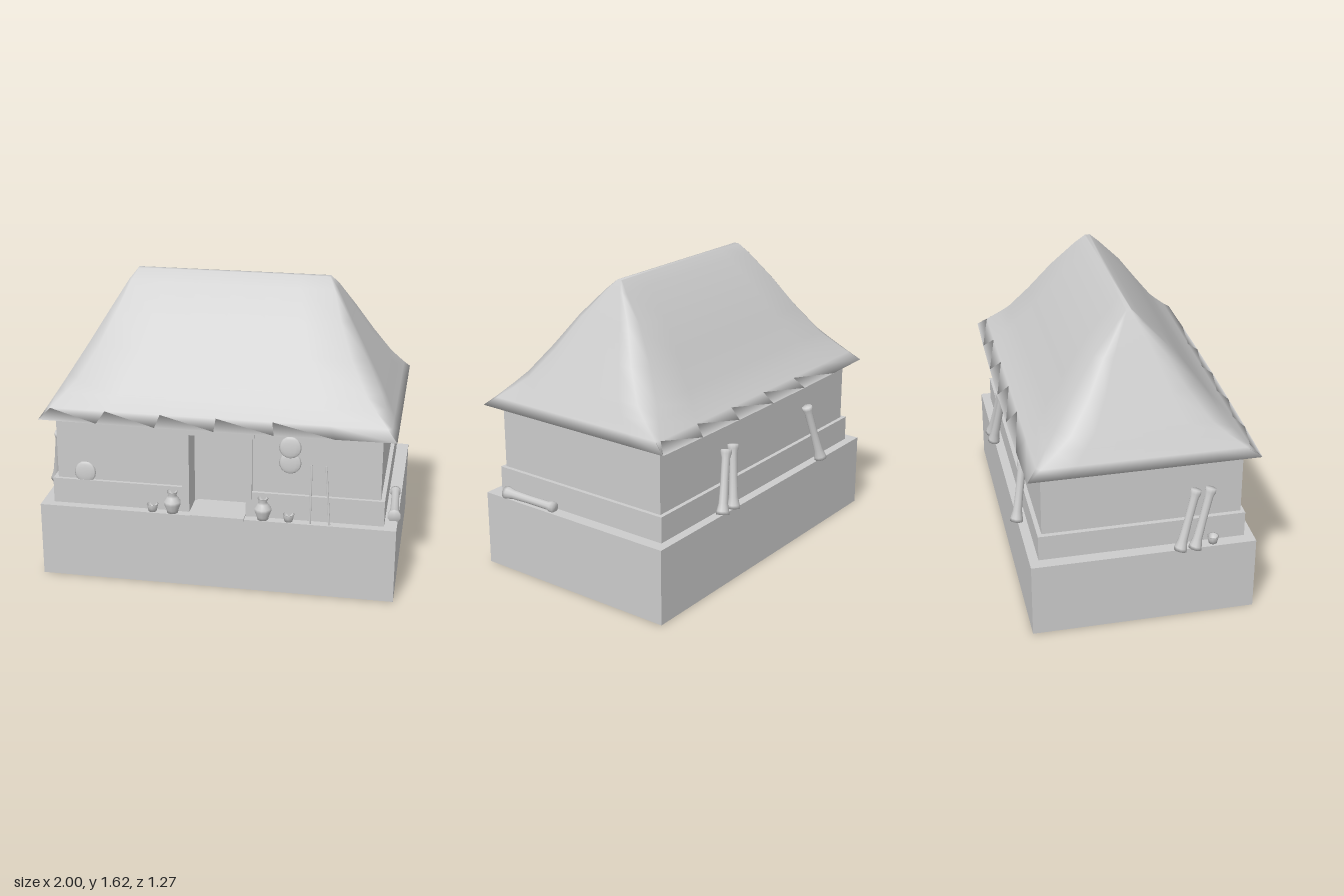
import * as THREE from 'three';

const mat = new THREE.MeshStandardMaterial({ color: 0xcccccc });
const matDouble = new THREE.MeshStandardMaterial({ color: 0xcccccc, side: THREE.DoubleSide });
const V = (x, y, z) => new THREE.Vector3(x, y, z);

export function createModel() {
  const model = new THREE.Group();

  const add = (name, geometry, material = mat) => {
    const mesh = new THREE.Mesh(geometry, material);
    mesh.name = name;
    model.add(mesh);
    return mesh;
  };

  // Box given by its extents
  const box = (name, x0, x1, y0, y1, z0, z1) =>
    add(name, new THREE.BoxGeometry(x1 - x0, y1 - y0, z1 - z0))
      .position.set((x0 + x1) / 2, (y0 + y1) / 2, (z0 + z1) / 2);

  // Walls extruded upward from a plan with a doorway notch in the front
  const DOOR = [-0.135, 0.175, 0.42]; // left, right, back of recess
  const notchedWalls = (name, x0, x1, z0, z1, y0, y1) => {
    const [a, b, d] = DOOR;
    const plan = [[x0, z0], [x0, z1], [a, z1], [a, d], [b, d], [b, z1], [x1, z1], [x1, z0]];
    const shape = new THREE.Shape(plan.map(([x, z]) => new THREE.Vector2(x, -z)));
    const g = new THREE.ExtrudeGeometry(shape, { depth: y1 - y0, bevelEnabled: false });
    g.rotateX(-Math.PI / 2).translate(0, y0, 0);
    add(name, g);
  };

  // Base: a box open at the bottom
  const base = new THREE.BoxGeometry(1.945, 0.42, 1.21);
  const idx = Array.from(base.index.array);
  idx.splice(18, 6);
  base.setIndex(idx);
  base.clearGroups();
  add('base', base, matDouble).position.set(0.0125, 0.21, 0.015);

  // House body and plinth
  notchedWalls('walls', -0.87, 0.895, -0.517, 0.553, 0.41, 0.96);
  notchedWalls('plinth', -0.895, 0.917, -0.54, 0.572, 0.412, 0.563);

  // Doorway
  box('leftJamb', -0.175, DOOR[0], 0.42, 0.93, 0.45, 0.575);
  box('rightJamb', DOOR[1], 0.207, 0.42, 0.93, 0.45, 0.575);
  box('lintel', -0.205, 0.22, 0.872, 0.935, 0.45, 0.58);
  box('doorstep', -0.12, 0.172, 0.41, 0.428, 0.41, 0.63);

  add('roof', roofGeometry(), matDouble);

  // Turned pieces: jars, cups and pestles
  const lathe = (points, sides) =>
    new THREE.LatheGeometry(points.map(([r, y]) => new THREE.Vector2(r, y)), sides);
  const jar = lathe([[0, 0], [0.03, 0], [0.034, 0.018], [0.046, 0.05], [0.046, 0.066],
    [0.028, 0.09], [0.022, 0.102], [0.03, 0.122], [0.026, 0.122], [0.018, 0.1], [0, 0.095]], 12);
  const cup = lathe([[0, 0], [0.022, 0], [0.027, 0.02], [0.032, 0.04], [0.027, 0.04],
    [0.02, 0.015], [0, 0.012]], 10);
  const pestle = lathe([[0, 0], [0.036, 0], [0.034, 0.018], [0.025, 0.06], [0.022, 0.17],
    [0.023, 0.3], [0.03, 0.325], [0.029, 0.345], [0, 0.347]], 10);

  for (const x of [-0.225, 0.27]) add('jar', jar, matDouble).position.set(x, 0.42, 0.59);
  for (const [x, z] of [[-0.335, 0.592], [0.41, 0.592], [-0.925, 0.39]])
    add('cup', cup, matDouble).position.set(x, 0.42, z);

  // Place a y-axis part with its foot at one point, pointing at another
  const aim = (mesh, from, to) => {
    mesh.position.copy(from);
    mesh.quaternion.setFromUnitVectors(V(0, 1, 0), to.clone().sub(from).normalize());
  };
  const pestles = [
    [V(-0.967, 0.425, 0.2), V(-0.905, 0.77, 0.3)],
    [V(-0.967, 0.425, 0.28), V(-0.905, 0.77, 0.38)],
    [V(0.465, 0.43, -0.597), V(0.355, 0.765, -0.54)],
    [V(0.365, 0.43, -0.597), V(0.295, 0.765, -0.54)],
    [V(-0.52, 0.43, -0.597), V(-0.44, 0.765, -0.54)],
    [V(0.965, 0.447, 0.495), V(0.952, 0.442, 0.145)],
  ];
  for (const [from, to] of pestles) aim(add('pestle', pestle), from, to);

  // Thin sticks leaning on the front wall
  for (const [from, to] of [
    [V(0.526, 0.42, 0.605), V(0.524, 0.74, 0.56)],
    [V(0.63, 0.42, 0.605), V(0.602, 0.74, 0.56)],
  ]) {
    const len = from.distanceTo(to);
    const g = new THREE.CylinderGeometry(0.006, 0.006, len, 6).translate(0, len / 2, 0);
    aim(add('stick', g), from, to);
  }

  // Shallow round trays hung on the front wall
  const tray = new THREE.SphereGeometry(0.06, 12, 8).scale(1, 1, 0.2);
  for (const [x, y, z] of [[-0.715, 0.607, 0.56], [0.41, 0.745, 0.56], [0.41, 0.835, 0.566]]) {
    const mesh = add('tray', tray);
    mesh.position.set(x, y, z);
    mesh.rotation.x = -0.08;
  }
  return model;
}

// Hipped thatch roof, lofted through rounded rectangular rings from underside to ridge
function roofGeometry() {
  const CX = 0.0125, CZ = 0.018, N = 6;
  // half width, half depth, height, corner cut
  const rings = [
    [0.86, 0.5, 0.955, 0.003],
    [0.957, 0.612, 0.925, 0.003],
    [0.925, 0.558, 0.975, 0.02],
    [0.885, 0.492, 1.045, 0.05],
    [0.85, 0.438, 1.105, 0.07],
    [0.76, 0.328, 1.255, 0.07],
    [0.66, 0.205, 1.425, 0.045],
    [0.575, 0.07, 1.57, 0.015],
    [0.533, 0.015, 1.624, 0.003],
  ];
  const pos = [], index = [];
  rings.forEach(([w, d, y, c], r) => {
    // Corners of the ring, counter-clockwise from above
    const pts = [[w, d - c], [w, c - d], [w - c, -d], [c - w, -d],
      [-w, c - d], [-w, d - c], [c - w, d], [w - c, d]];
    pts.forEach(([x, z], i) => {
      const [nx, nz] = pts[(i + 1) % 8];
      const steps = i % 2 ? 1 : N;
      for (let k = 0; k < steps; k++) {
        const t = k / steps;
        const px = x + (nx - x) * t, pz = z + (nz - z) * t;
        // Eaves bow out slightly mid-span along the long sides
        const bow = r === 1 && Math.abs(pz) > d - 0.001 ? 0.012 * (1 - (px / w) ** 2) : 0;
        pos.push(CX + px, y, CZ + pz + Math.sign(pz) * bow);
      }
    });
  });
  const M = 4 * N + 4;
  for (let r = 0; r < rings.length - 1; r++)
    for (let i = 0; i < M; i++) {
      const a = r * M + i, b = r * M + (i + 1) % M;
      index.push(a, b, a + M, b, b + M, a + M);
    }
  // Flat cap along the ridge
  const top = (rings.length - 1) * M, centre = pos.length / 3;
  pos.push(CX, 1.625, CZ);
  for (let i = 0; i < M; i++) index.push(top + i, top + (i + 1) % M, centre);

  const g = new THREE.BufferGeometry();
  g.setAttribute('position', new THREE.Float32BufferAttribute(pos, 3));
  g.setIndex(index);
  g.computeVertexNormals();
  return g;
}
